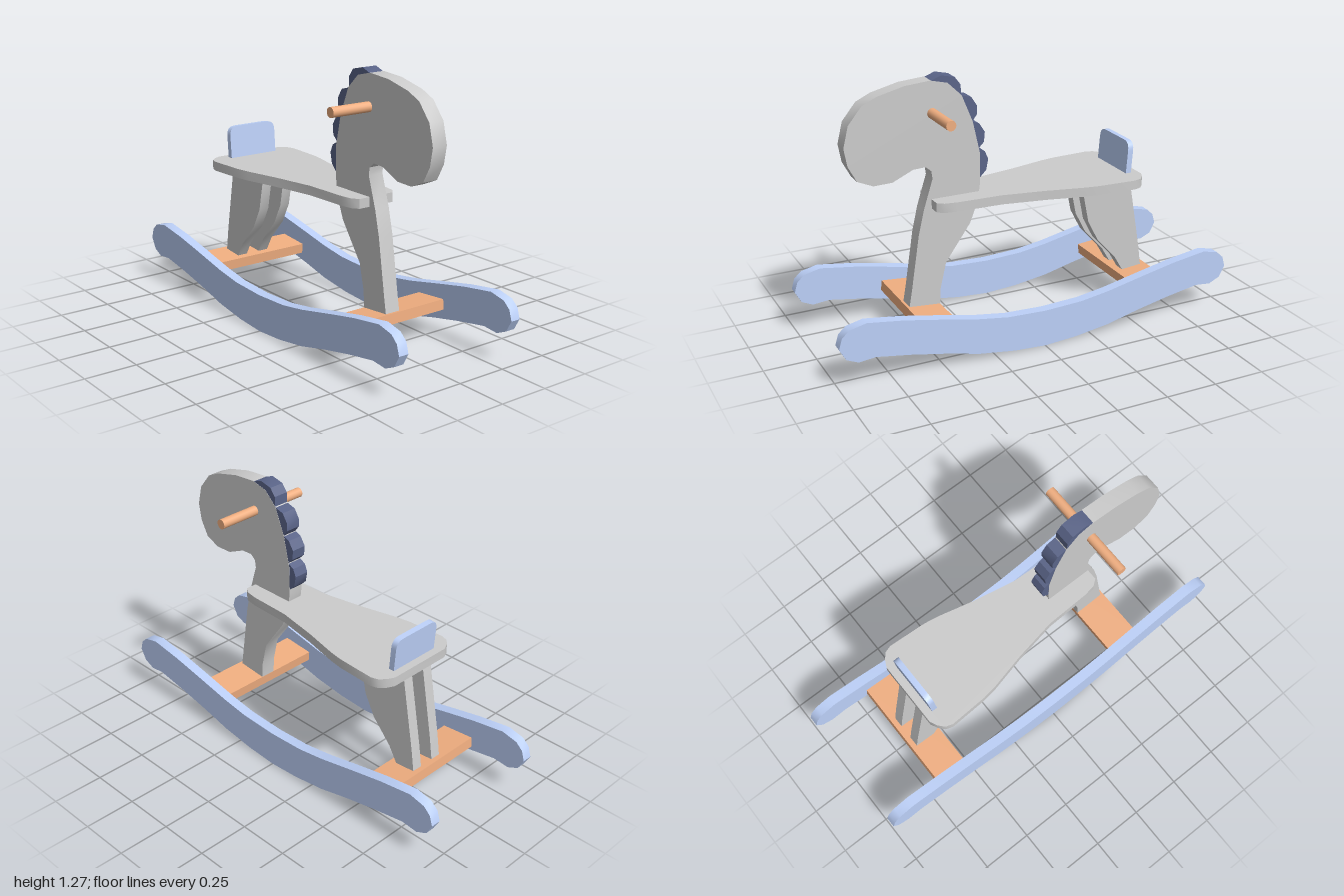
import * as THREE from 'three';
import { toCreasedNormals } from 'three/addons/utils/BufferGeometryUtils.js';

const paint = (color) => new THREE.MeshStandardMaterial({ color });
const grey = paint(0xcccccc), blue = paint(0xbcd0f8), orange = paint(0xf0ae80), navy = paint(0x5a6488);

const shapeOf = (points) => new THREE.Shape(points.map(([a, b]) => new THREE.Vector2(a, b)));

// Board cut from a side profile of [z, y] points, centred on x
function sideBoard(points, width) {
  const geo = new THREE.ExtrudeGeometry(shapeOf(points), { depth: width, bevelEnabled: false });
  geo.translate(0, 0, -width / 2).rotateY(-Math.PI / 2);
  return toCreasedNormals(geo, 0.6);
}

export function createModel() {
  const model = new THREE.Group();
  const add = (name, geo, mat, x = 0, y = 0, z = 0) => {
    const mesh = new THREE.Mesh(geo, mat);
    mesh.name = name;
    mesh.position.set(x, y, z);
    model.add(mesh);
    return mesh;
  };

  // Rockers: half profile mirrored front to back
  const under = [[0.16, 0.01], [0.335, 0.035], [0.5, 0.075], [0.67, 0.11], [0.835, 0.138], [0.915, 0.13], [0.97, 0.155], [1, 0.21]];
  const over = [[0.985, 0.26], [0.95, 0.292], [0.87, 0.31], [0.7, 0.285], [0.54, 0.253], [0.335, 0.21], [0.19, 0.188]];
  const half = [...under, ...over];
  const mirrored = half.map(([z, y]) => [-z, y]).reverse();
  const rocker = sideBoard([[0, 0], ...half, [0, 0.18], ...mirrored], 0.05);
  add('leftRocker', rocker, blue, 0.32);
  add('rightRocker', rocker, blue, -0.32);

  // Cross slats, tilted to follow the rockers
  const slat = new THREE.BoxGeometry(0.59, 0.05, 0.168);
  add('frontSlat', slat, orange, 0, 0.153, 0.485).rotation.x = -0.09;
  add('backSlat', slat, orange, 0, 0.153, -0.615).rotation.x = 0.09;

  // Head, neck and front post in one board
  add('headAndNeck', sideBoard([
    [0.4, 0.165], [0.555, 0.175], [0.54, 0.26], [0.498, 0.53], [0.47, 0.65], [0.423, 0.797], [0.428, 0.835],
    [0.455, 0.858], [0.515, 0.855], [0.615, 0.81], [0.705, 0.807], [0.78, 0.84], [0.82, 0.915], [0.835, 1],
    [0.81, 1.1], [0.745, 1.18], [0.675, 1.213], [0.545, 1.245], [0.423, 1.255], [0.34, 1.235], [0.273, 1.17],
    [0.22, 1.04], [0.187, 0.89], [0.187, 0.74], [0.2, 0.65], [0.24, 0.55], [0.365, 0.375], [0.395, 0.25],
  ], 0.078), grey);

  // Mane: four scalloped tufts along the back of the neck
  const tufts = [
    [[0.42, 1.253], [0.37, 1.272], [0.305, 1.257], [0.277, 1.22], [0.275, 1.17], [0.34, 1.23]],
    [[0.273, 1.168], [0.225, 1.155], [0.198, 1.112], [0.198, 1.072], [0.22, 1.042], [0.245, 1.09]],
    [[0.22, 1.038], [0.187, 1.025], [0.16, 0.983], [0.165, 0.935], [0.192, 0.908], [0.21, 0.97]],
    [[0.19, 0.905], [0.16, 0.888], [0.144, 0.85], [0.155, 0.797], [0.185, 0.768], [0.192, 0.84]],
  ];
  tufts.forEach((points, i) => add(`maneTuft${i + 1}`, sideBoard(points.reverse(), 0.076), navy));

  // Handle bar through the head
  const bar = new THREE.CylinderGeometry(0.024, 0.024, 0.5, 16).rotateZ(Math.PI / 2);
  add('handleBar', bar, orange, 0, 1.105, 0.417);

  // Seat: half outline of [x, z] mirrored left to right
  const edge = [[0.095, 0.43], [0.118, 0.4], [0.128, 0.34], [0.136, 0.12], [0.175, -0.09], [0.218, -0.27],
    [0.229, -0.34], [0.239, -0.53], [0.228, -0.565], [0.2, -0.59], [0.165, -0.607]];
  const outline = [...edge, ...edge.map(([x, z]) => [-x, z]).reverse()];
  const seat = new THREE.ExtrudeGeometry(shapeOf(outline), { depth: 0.045, bevelEnabled: false });
  add('seat', toCreasedNormals(seat.rotateX(Math.PI / 2), 0.6), grey, 0, 0.7);

  // Backrest with rounded upper corners, leaning back
  const rest = new THREE.Shape();
  rest.moveTo(-0.133, -0.01);
  rest.lineTo(0.133, -0.01);
  rest.lineTo(0.133, 0.11);
  rest.quadraticCurveTo(0.133, 0.155, 0.088, 0.155);
  rest.lineTo(-0.088, 0.155);
  rest.quadraticCurveTo(-0.133, 0.155, -0.133, 0.11);
  const restGeo = new THREE.ExtrudeGeometry(rest, { depth: 0.028, bevelEnabled: false, curveSegments: 5 });
  add('backrest', toCreasedNormals(restGeo, 0.6), blue, 0, 0.7, -0.569).rotation.x = -0.08;

  // Pair of back legs
  const leg = sideBoard([[-0.335, 0.66], [-0.59, 0.66], [-0.655, 0.29], [-0.672, 0.17], [-0.57, 0.165],
    [-0.52, 0.25], [-0.42, 0.36], [-0.365, 0.465], [-0.337, 0.6]], 0.053);
  add('leftBackLeg', leg, grey, 0.063);
  add('rightBackLeg', leg, grey, -0.063);

  return model;
}
